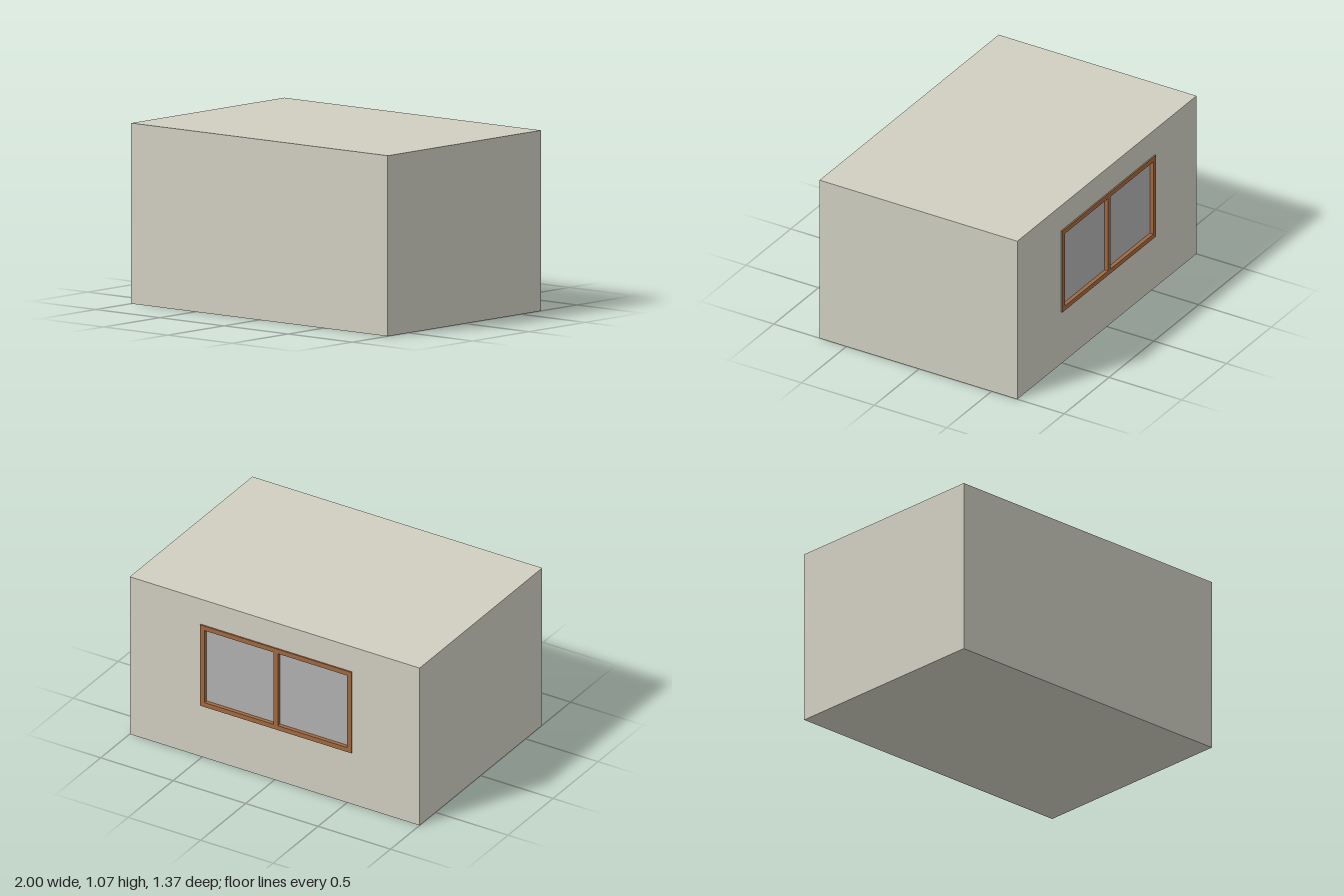
import * as THREE from 'three';

const W = 2, H = 1.07, FRONT = 0.685, BACK = -0.677;
const WIN = { x0: -0.535, x1: 0.51, y0: 0.35, y1: 0.9 };
const BAR = 0.03, FRAME_OUT = -0.686, FRAME_DEPTH = 0.036;

const paint = (color) => new THREE.MeshStandardMaterial({ color, side: THREE.DoubleSide });

function rectangle(PathType, x0, y0, x1, y1) {
  return new PathType([[x0, y0], [x1, y0], [x1, y1], [x0, y1]].map(([x, y]) => new THREE.Vector2(x, y)));
}

export function createModel() {
  const model = new THREE.Group();
  const wallPaint = paint(0xd0cec0), wood = paint(0xa0683f), pane = paint(0xb0b0b0);

  const add = (name, geometry, material, x = 0, y = 0, z = 0) => {
    const mesh = new THREE.Mesh(geometry, material);
    mesh.name = name;
    mesh.position.set(x, y, z);
    model.add(mesh);
  };

  // Room shell: a box whose last face, the back, is left open
  const shell = new THREE.BoxGeometry(W, H, FRONT - BACK);
  shell.setIndex(Array.from(shell.index.array).slice(0, 30));
  shell.clearGroups();
  add('roomShell', shell, wallPaint, 0, H / 2, (FRONT + BACK) / 2);

  // Back wall with the window opening, turned to face -z
  const wall = rectangle(THREE.Shape, -W / 2, 0, W / 2, H);
  wall.holes.push(rectangle(THREE.Path, -WIN.x1 + 0.005, WIN.y0 + 0.005, -WIN.x0 - 0.005, WIN.y1 - 0.005));
  add('backWall', new THREE.ShapeGeometry(wall).rotateY(Math.PI), wallPaint, 0, 0, BACK);

  // Window frame with two openings either side of the mullion
  const mid = (WIN.x0 + WIN.x1) / 2;
  const frame = rectangle(THREE.Shape, WIN.x0, WIN.y0, WIN.x1, WIN.y1);
  const openings = [[WIN.x0 + BAR, mid - BAR / 2], [mid + BAR / 2, WIN.x1 - BAR]];
  for (const [a, b] of openings) {
    frame.holes.push(rectangle(THREE.Path, a, WIN.y0 + BAR, b, WIN.y1 - BAR));
  }
  add('windowFrame', new THREE.ExtrudeGeometry(frame, { depth: FRAME_DEPTH, bevelEnabled: false }), wood, 0, 0, FRAME_OUT);

  // Recessed panes
  openings.forEach(([a, b], i) => {
    const glass = new THREE.BoxGeometry(b - a, WIN.y1 - WIN.y0 - 2 * BAR, 0.01);
    add(i ? 'leftPane' : 'rightPane', glass, pane, (a + b) / 2, (WIN.y0 + WIN.y1) / 2, FRAME_OUT + 0.03);
  });

  return model;
}
